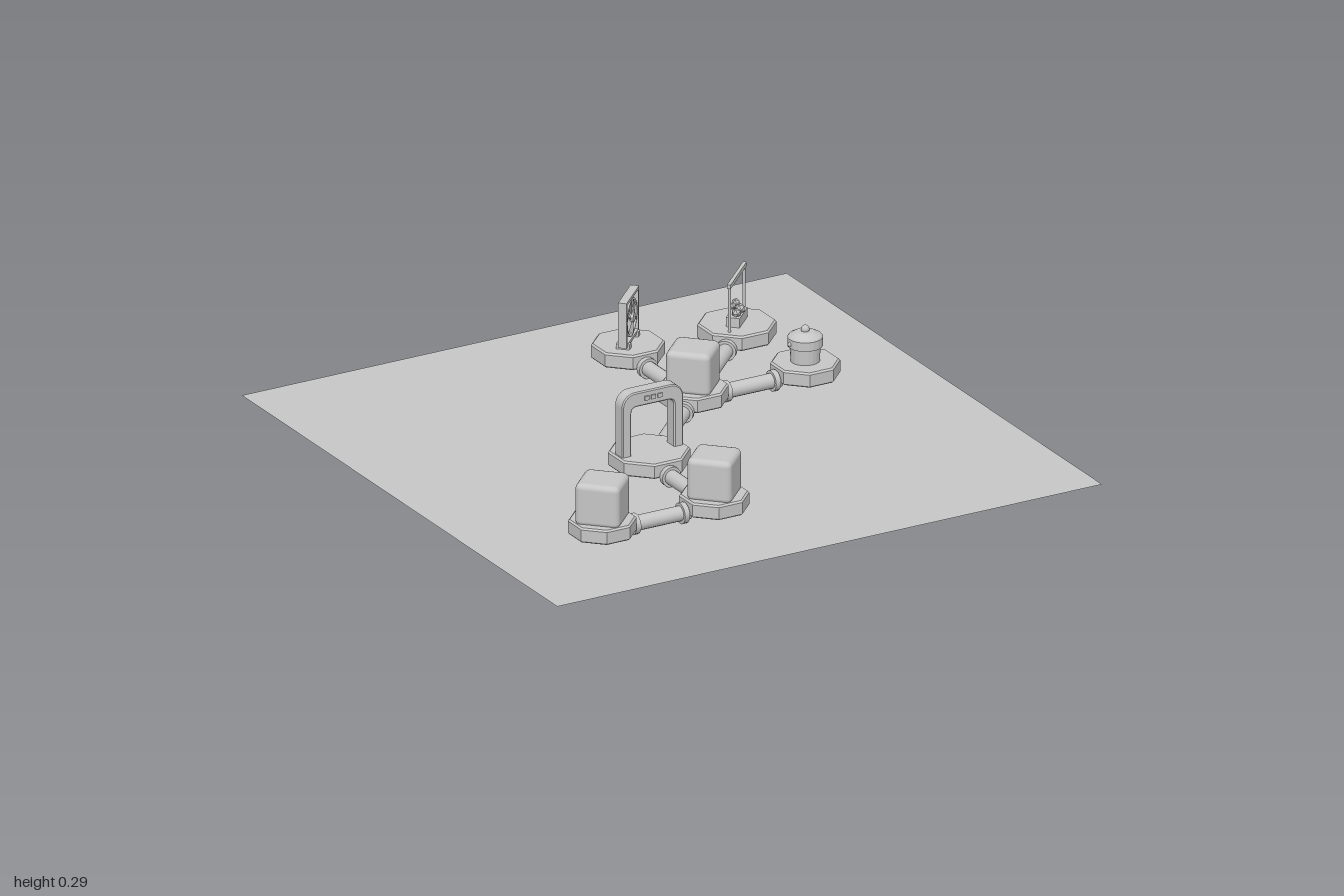
import * as THREE from 'three';
import { RoundedBoxGeometry } from 'three/addons/geometries/RoundedBoxGeometry.js';

const grey = new THREE.MeshStandardMaterial({ color: 0xc6c6c6 });
grey.name = 'light grey';
const facetedGrey = new THREE.MeshStandardMaterial({ color: 0xc6c6c6, flatShading: true });
facetedGrey.name = 'light grey faceted';
const groundGrey = new THREE.MeshStandardMaterial({ color: 0xc6c6c6, side: THREE.DoubleSide });
groundGrey.name = 'ground grey';

const DECK = 0.08; // top of the platforms
const PIPE_Y = 0.0345;

function add(parent, name, geometry, x = 0, y = 0, z = 0, material = grey) {
  const mesh = new THREE.Mesh(geometry, material);
  mesh.name = name;
  mesh.position.set(x, y, z);
  parent.add(mesh);
  return mesh;
}

const box = (w, h, d) => new THREE.BoxGeometry(w, h, d);
const rod = (r, h, n = 16) => new THREE.CylinderGeometry(r, r, h, n);

// Octagonal platform with flat sides facing the axes
function platform(parent, apothem) {
  const r = apothem / Math.cos(Math.PI / 8);
  const profile = [[0, 0.03], [r - 0.004, 0.03], [r, 0.034], [r, DECK - 0.006], [r - 0.006, DECK], [0, DECK]]
    .map(([x, y]) => new THREE.Vector2(x, y));
  add(parent, 'platform', new THREE.LatheGeometry(profile, 8, Math.PI / 8), 0, 0, 0, facetedGrey);
}

// Rounded block turned by 45 degrees
function block(parent) {
  const mesh = add(parent, 'block', new RoundedBoxGeometry(0.147, 0.147, 0.147, 2, 0.02), 0, 0.1435, 0);
  mesh.rotation.y = Math.PI / 4;
}

// Doorway arch with rounded shoulders
function arch(parent) {
  const w = 0.108, i = 0.078, top = 0.291, under = 0.245, r = 0.042, b = 0.004;
  const s = new THREE.Shape();
  s.moveTo(-w, DECK - 0.01);
  s.lineTo(-i - b, DECK - 0.01);
  s.lineTo(-i - b, under - 0.02);
  s.quadraticCurveTo(-i - b, under + b, -i + 0.02, under + b);
  s.lineTo(i - 0.02, under + b);
  s.quadraticCurveTo(i + b, under + b, i + b, under - 0.02);
  s.lineTo(i + b, DECK - 0.01);
  s.lineTo(w, DECK - 0.01);
  s.lineTo(w, top - r);
  s.absarc(w - r, top - r, r, 0, Math.PI / 2, false);
  s.lineTo(-w + r, top);
  s.absarc(-w + r, top - r, r, Math.PI / 2, Math.PI, false);
  const geometry = new THREE.ExtrudeGeometry(s, {
    depth: 0.042, bevelEnabled: true, bevelThickness: b, bevelSize: b, bevelSegments: 1, curveSegments: 5,
  });
  add(parent, 'arch', geometry, 0, 0, -0.021);
  // Row of small studs on both faces of the lintel
  for (const side of [-1, 1]) {
    for (const x of [-0.024, 0, 0.024]) add(parent, 'archStud', box(0.016, 0.014, 0.006), x, 0.27, side * 0.027);
  }
}

// Square fan panel facing the front left
function fanPanel(parent) {
  const g = new THREE.Group();
  g.name = 'fanPanel';
  g.rotation.y = Math.PI / 4;
  parent.add(g);
  const cy = 0.166;
  add(g, 'backPlate', box(0.155, 0.155, 0.012), 0, cy, -0.006);
  for (const s of [-1, 1]) {
    add(g, 'frameSide', box(0.01, 0.155, 0.016), s * 0.0725, cy, 0.008);
    add(g, 'frameRail', box(0.135, 0.01, 0.016), 0, cy + s * 0.0725, 0.008);
    add(g, 'foot', box(0.022, 0.018, 0.045), s * 0.055, DECK + 0.008, 0);
  }
  add(g, 'fanRing', new THREE.TorusGeometry(0.06, 0.005, 6, 24), 0, cy, 0.01);
  const hub = add(g, 'fanHub', rod(0.016, 0.022), 0, cy, 0.01);
  hub.rotation.x = Math.PI / 2;
  for (let k = 0; k < 6; k++) {
    const spoke = new THREE.Group();
    spoke.name = 'fanSpoke';
    spoke.position.set(0, cy, 0.009);
    spoke.rotation.z = k * Math.PI / 3;
    g.add(spoke);
    const blade = add(spoke, 'fanBlade', box(0.02, 0.044, 0.004), 0, 0.034, 0);
    blade.rotation.y = 0.5;
  }
}

// Thin gate over a plinth of small stones
function gate(parent) {
  const g = new THREE.Group();
  g.name = 'gate';
  g.rotation.y = Math.PI / 4;
  parent.add(g);
  for (const s of [-1, 1]) add(g, 'gatePost', rod(0.005, 0.16, 8), s * 0.088, 0.155, 0);
  add(g, 'gateBar', box(0.198, 0.014, 0.012), 0, 0.239, 0);
  add(g, 'plinth', box(0.1, 0.034, 0.045), 0, DECK + 0.015, 0);
  const stones = [[-0.028, 0.122, 0.006, 0.016], [0.028, 0.12, -0.006, 0.016], [0, 0.126, 0.01, 0.018],
    [0.006, 0.142, -0.005, 0.015], [-0.012, 0.138, -0.01, 0.012]];
  for (const [x, y, z, r] of stones) {
    add(g, 'stone', new THREE.IcosahedronGeometry(r, 0), x, y, z, facetedGrey);
  }
}

// Lidded pot with knob and side handles
function pot(parent) {
  const profile = [[0, 0.075], [0.047, 0.075], [0.049, 0.13], [0.057, 0.132], [0.057, 0.162], [0.052, 0.168],
    [0.03, 0.18], [0, 0.183]].map(([x, y]) => new THREE.Vector2(x, y));
  add(parent, 'pot', new THREE.LatheGeometry(profile, 20), 0, 0, 0, facetedGrey);
  add(parent, 'lidKnob', new THREE.SphereGeometry(0.014, 12, 8), 0, 0.187, 0);
  for (const s of [-1, 1]) add(parent, 'potHandle', new THREE.SphereGeometry(0.008, 8, 6), s * 0.056, 0.145, 0);
}

// Flanged pipe between the edges of two platforms
function pipe(parent, a, b) {
  const start = new THREE.Vector3(a.x, PIPE_Y, a.z);
  const end = new THREE.Vector3(b.x, PIPE_Y, b.z);
  const dir = end.clone().sub(start).normalize();
  start.addScaledVector(dir, a.apothem);
  end.addScaledVector(dir, -b.apothem);
  const length = start.distanceTo(end);
  const g = new THREE.Group();
  g.name = 'pipe';
  g.position.copy(start).add(end).multiplyScalar(0.5);
  g.quaternion.setFromUnitVectors(new THREE.Vector3(0, 1, 0), dir);
  parent.add(g);
  add(g, 'pipeTube', rod(0.025, length + 0.02));
  for (const s of [-1, 1]) add(g, 'pipeFlange', rod(0.0345, 0.018), 0, s * (length / 2 - 0.013), 0);
}

export function createModel() {
  const model = new THREE.Group();
  model.name = 'pipeNetwork';

  // Ground sheet
  add(model, 'groundSheet', new THREE.PlaneGeometry(2, 2).rotateX(-Math.PI / 2), 0, 0.001, 0, groundGrey);

  // Stations
  const stations = [
    { name: 'firstStation', x: -0.605, z: 0.603, apothem: 0.102, build: block },
    { name: 'secondStation', x: -0.194, z: 0.603, apothem: 0.104, build: block },
    { name: 'archStation', x: -0.194, z: 0.19, apothem: 0.122, build: arch },
    { name: 'hubStation', x: 0.188, z: -0.192, apothem: 0.106, build: block },
    { name: 'fanStation', x: 0.188, z: -0.604, apothem: 0.11, build: fanPanel },
    { name: 'gateStation', x: 0.57, z: -0.574, apothem: 0.118, build: gate },
    { name: 'potStation', x: 0.6, z: -0.192, apothem: 0.104, build: pot },
  ];
  for (const s of stations) {
    const g = new THREE.Group();
    g.name = s.name;
    g.position.set(s.x, 0, s.z);
    platform(g, s.apothem);
    s.build(g);
    model.add(g);
  }

  // Pipes
  for (const [i, j] of [[0, 1], [1, 2], [2, 3], [3, 4], [3, 5], [3, 6]]) pipe(model, stations[i], stations[j]);
  return model;
}
